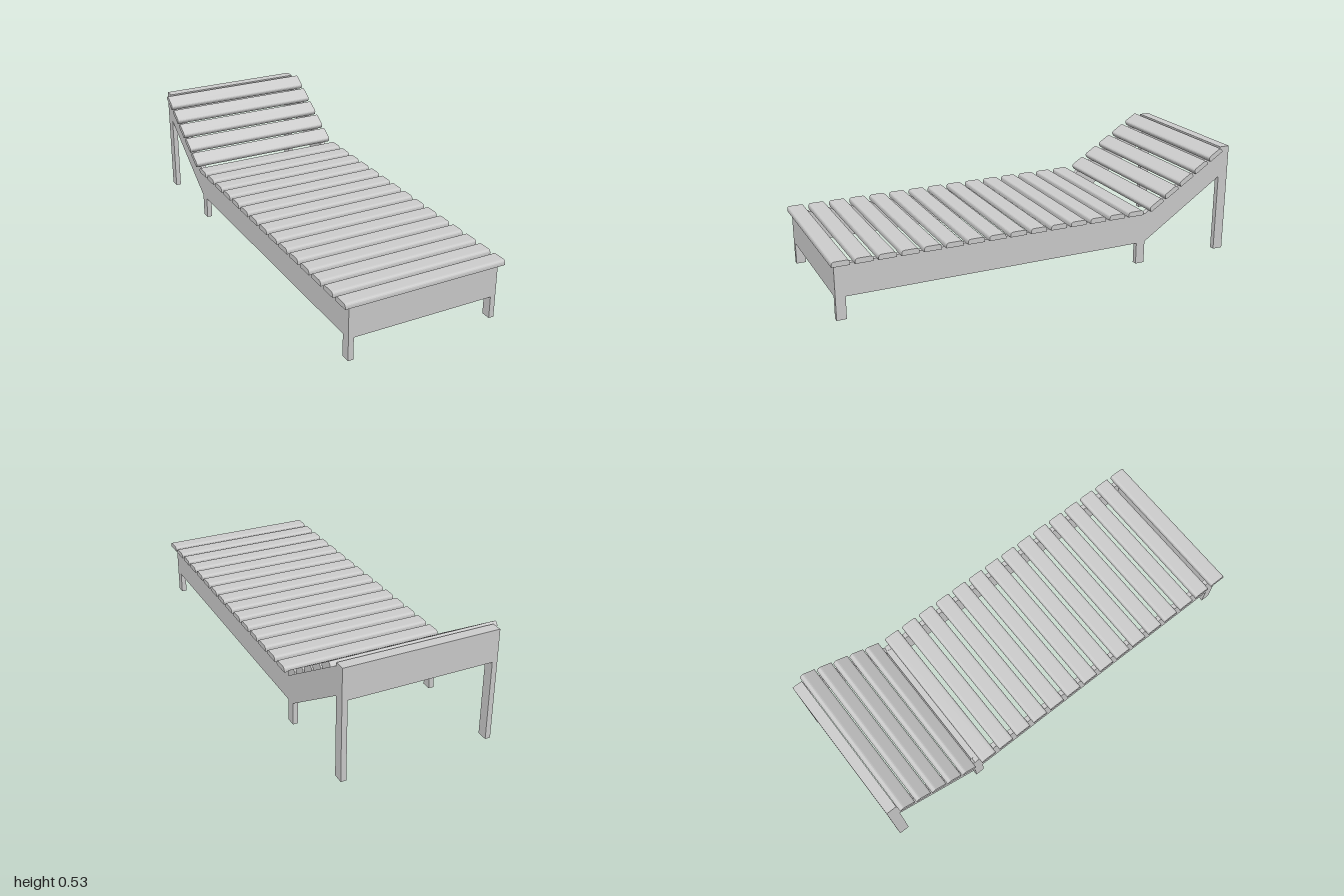
import * as THREE from 'three';

const material = new THREE.MeshStandardMaterial({ color: 0xcccccc, roughness: 0.8 });

// Extrudes a (z, y) outline along x, centred on x = 0
function extrudeAcross(shape, width) {
  const geo = new THREE.ExtrudeGeometry(shape, { depth: width, bevelEnabled: false, curveSegments: 4 });
  geo.translate(0, 0, -width / 2);
  geo.rotateY(-Math.PI / 2);
  return geo;
}

// Slat cross-section: flat underside, rounded upper edges
function slatGeometry(depth) {
  const h = depth / 2, t = 0.024, r = 0.014;
  const s = new THREE.Shape();
  s.moveTo(-h, 0);
  s.lineTo(h, 0);
  s.lineTo(h, t - r);
  s.quadraticCurveTo(h, t, h - r, t);
  s.lineTo(-h + r, t);
  s.quadraticCurveTo(-h, t, -h, t - r);
  s.closePath();
  return extrudeAcross(s, 0.772);
}

export function createModel() {
  const model = new THREE.Group();
  model.name = 'sunLounger';

  const add = (name, geo, x, y, z) => {
    const mesh = new THREE.Mesh(geo, material);
    mesh.name = name;
    mesh.position.set(x, y, z);
    model.add(mesh);
    return mesh;
  };

  // Side frames: rail, sloping back rail and three legs in one outline
  const outline = [
    [0.985, 0], [0.985, 0.255], [-0.527, 0.255], [-0.535, 0.25], [-0.95, 0.515],
    [-0.95, 0.53], [-1, 0.53], [-1, 0], [-0.95, 0], [-0.95, 0.38],
    [-0.54, 0.108], [-0.54, 0], [-0.495, 0], [-0.495, 0.105], [0.94, 0.105], [0.94, 0],
  ].map(([z, y]) => new THREE.Vector2(z, y));
  const side = extrudeAcross(new THREE.Shape(outline), 0.025);
  add('leftSideFrame', side, 0.3485, 0, 0);
  add('rightSideFrame', side, -0.3485, 0, 0);

  // Cross boards joining the two sides
  const board = (name, z, depth, y0, y1) =>
    add(name, new THREE.BoxGeometry(0.674, y1 - y0, depth), 0, (y0 + y1) / 2, z);
  board('footBoard', 0.9625, 0.045, 0.105, 0.255);
  board('middleBoard', -0.5175, 0.045, 0.105, 0.253);
  board('headBoard', -0.975, 0.05, 0.38, 0.53);

  // Flat seat slats
  const seatSlat = slatGeometry(0.08);
  for (let i = 0; i < 15; i++) add('seatSlat', seatSlat, 0, 0.255, 0.96 - i * 0.1022);

  // Sloping backrest slats, resting on the back rails
  const slope = 0.265 / 0.415;
  const backSlat = slatGeometry(0.08);
  for (let i = 0; i < 5; i++) {
    const z = -0.59 - i * 0.081;
    add('backSlat', backSlat, 0, 0.25 + (-0.535 - z) * slope, z).rotation.x = Math.atan(slope);
  }
  return model;
}
